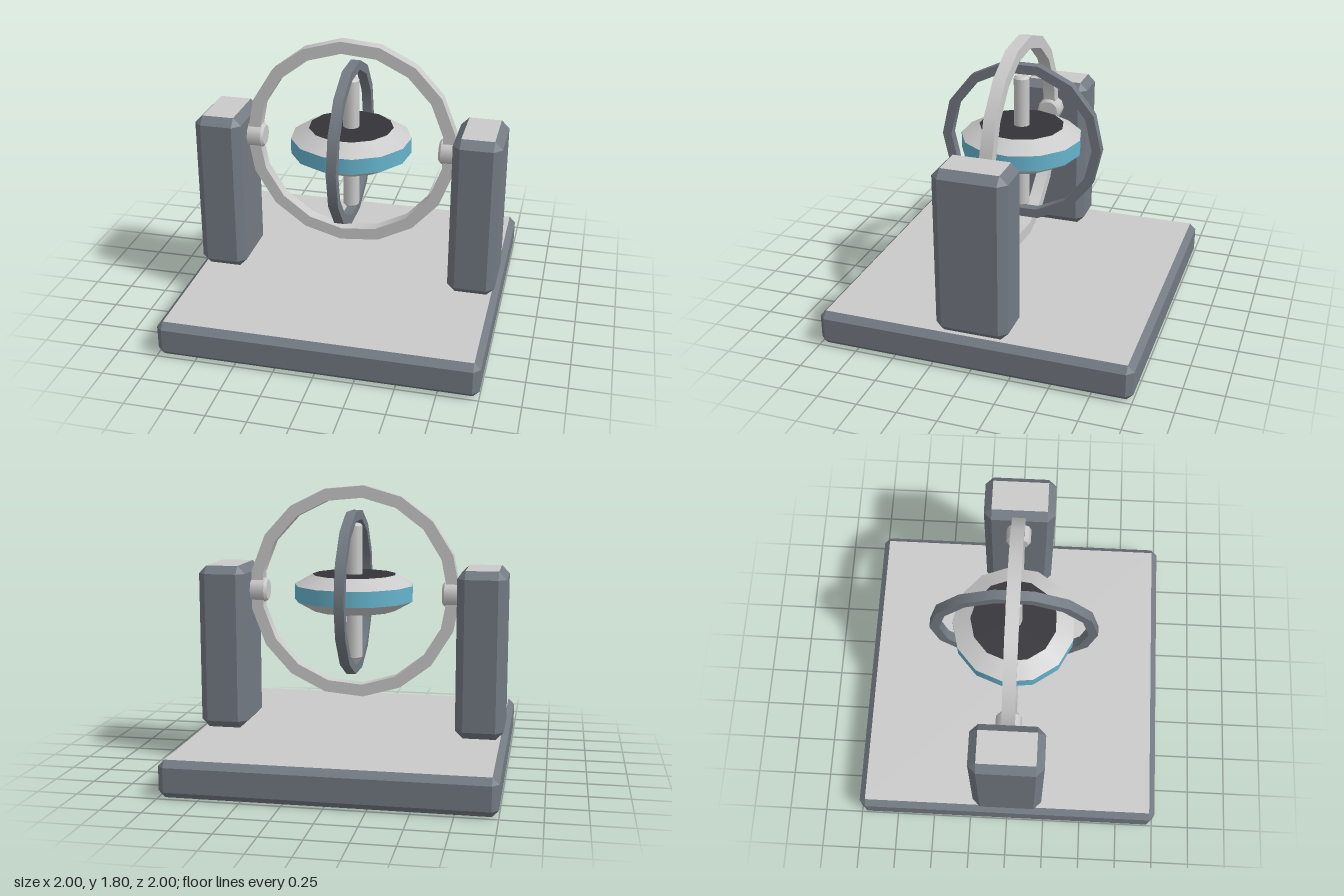
import * as THREE from 'three';
import { mergeGeometries } from 'three/addons/utils/BufferGeometryUtils.js';
import { ConvexGeometry } from 'three/addons/geometries/ConvexGeometry.js';

const material = (name, color) => Object.assign(new THREE.MeshStandardMaterial({ color }), { name });

// Box with every edge chamfered; group 0 = sides and chamfers, group 1 = flat top and bottom
function chamferedBox(w, h, d, c) {
  const pts = [];
  for (const x of [-w / 2, w / 2]) for (const y of [-h / 2, h / 2]) for (const z of [-d / 2, d / 2]) {
    const [ix, iy, iz] = [x, y, z].map((v) => v - Math.sign(v) * c);
    pts.push(new THREE.Vector3(x, iy, iz), new THREE.Vector3(ix, y, iz), new THREE.Vector3(ix, iy, z));
  }
  const geo = new ConvexGeometry(pts);
  const normal = geo.attributes.normal;
  for (let i = 0; i < normal.count; i += 3) {
    geo.addGroup(i, 3, Math.abs(normal.getY(i)) > 0.99 ? 1 : 0);
  }
  return geo;
}

// Turned solid: smooth around the axis, hard edges along the profile
function turned(profile, sides, phase = 0) {
  const bands = [];
  for (let i = 0; i < profile.length - 1; i++) {
    const pair = [profile[i], profile[i + 1]].map(([r, y]) => new THREE.Vector2(r, y));
    const band = new THREE.LatheGeometry(pair, sides, phase);
    band.normalizeNormals();
    bands.push(band);
  }
  return mergeGeometries(bands);
}

// Flat-sided hoop around the y axis
const hoop = (outer, inner, half, sides, phase) => turned(
  [[outer, -half], [outer, half], [inner, half], [inner, -half], [outer, -half]], sides, phase);

// Round bar with chamfered ends
const bar = (r, half, c, sides) => turned(
  [[0, -half], [r - c, -half], [r, c - half], [r, half - c], [r - c, half], [0, half]], sides);

export function createModel() {
  const light = material('lightGrey', 0xcacaca);
  const slate = material('slateGrey', 0x737a82);
  const teal = material('tealBlue', 0x66b4cd);
  const dark = material('charcoal', 0x343338);

  const model = new THREE.Group();
  model.name = 'gyroscope';
  const axisY = 1.12;

  const add = (name, geo, mat, x, y, parent = model) => {
    const mesh = new THREE.Mesh(geo, mat);
    mesh.name = name;
    mesh.position.set(x, y, 0);
    parent.add(mesh);
    return mesh;
  };

  // Stand
  add('base', chamferedBox(2, 0.23, 2, 0.04), [slate, light], 0, 0.115);
  for (const [side, s] of [['left', 1], ['right', -1]]) {
    add(side + 'Post', chamferedBox(0.305, 1.06, 0.46, 0.05), [slate, light], s * 0.828, 0.76);
    add(side + 'Pivot', bar(0.08, 0.075, 0.015, 10).rotateZ(Math.PI / 2), light, s * 0.645, axisY);
  }

  // Gimbal rings
  add('outerRing', hoop(0.683, 0.605, 0.04, 17, -Math.PI / 2).rotateX(Math.PI / 2), light, 0, axisY);
  add('innerRing', hoop(0.53, 0.47, 0.031, 14, 0).rotateZ(Math.PI / 2), slate, 0, axisY);

  // Spinning rotor
  const rotor = new THREE.Group();
  rotor.name = 'rotor';
  rotor.position.y = axisY;
  model.add(rotor);
  const disc = (name, profile, mat) => add(name, turned(profile, 13, Math.PI), mat, 0, 0, rotor);
  disc('rotorRim', [[0.385, -0.05], [0.385, 0.05]], teal);
  disc('upperBevel', [[0.385, 0.05], [0.27, 0.115]], light);
  disc('lowerBevel', [[0.27, -0.115], [0.385, -0.05]], light);
  disc('upperFace', [[0.27, 0.115], [0, 0.115]], dark);
  disc('lowerFace', [[0, -0.115], [0.27, -0.115]], dark);
  add('axle', bar(0.052, 0.44, 0.015, 10), light, 0, 0, rotor);

  return model;
}
